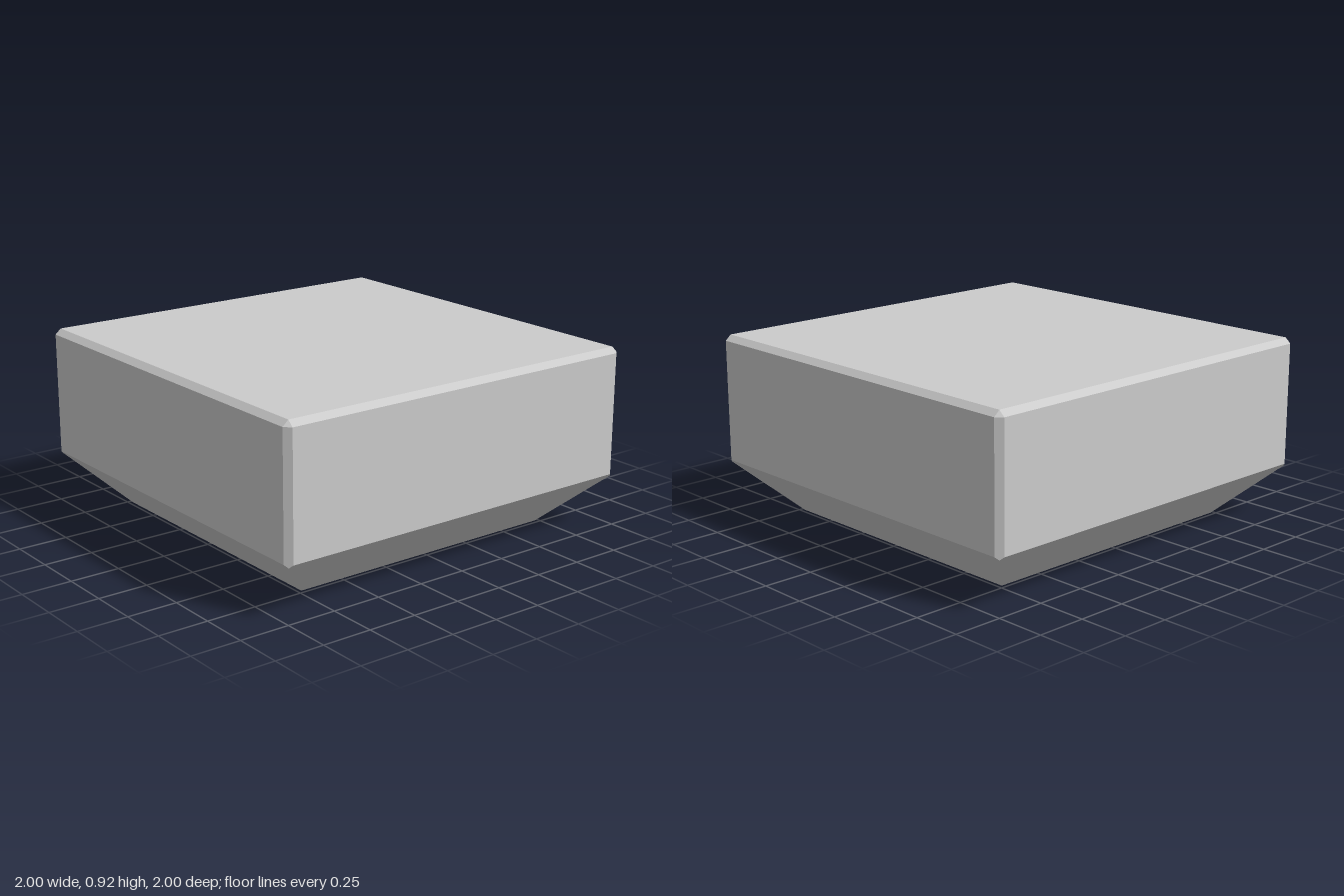
import * as THREE from 'three';
import { ConvexGeometry } from 'three/addons/geometries/ConvexGeometry.js';

const TOP = 0.915, SHOULDER = 0.888, WAIST = 0.27; // heights of the edges
const HALF = 1, BEVEL = 0.03, BASE = 0.73;         // half widths and chamfer size

export function createModel() {
  const group = new THREE.Group();
  group.name = 'chamferedBlock';

  // Corner points of one quadrant, mirrored into all four
  const inner = HALF - BEVEL, mid = HALF - BEVEL / 2;
  const corner = [
    [BASE, 0, BASE],                                  // foot of the 45 degree taper
    [mid, WAIST - BEVEL / 2, mid],                    // point below the upright chamfer
    [HALF, WAIST, inner], [inner, WAIST, HALF],       // lower ends of the walls
    [HALF, SHOULDER, inner], [inner, SHOULDER, HALF], // upper ends of the walls
    [inner, TOP, inner],                              // flat top
  ];
  const points = [];
  for (const sx of [-1, 1]) for (const sz of [-1, 1])
    for (const [x, y, z] of corner) points.push(new THREE.Vector3(sx * x, y, sz * z));

  // Solid block with bevelled edges and a tapered underside
  const block = new THREE.Mesh(
    new ConvexGeometry(points),
    new THREE.MeshStandardMaterial({ color: 0xcccccc, flatShading: true })
  );
  block.name = 'block';
  group.add(block);
  return group;
}
